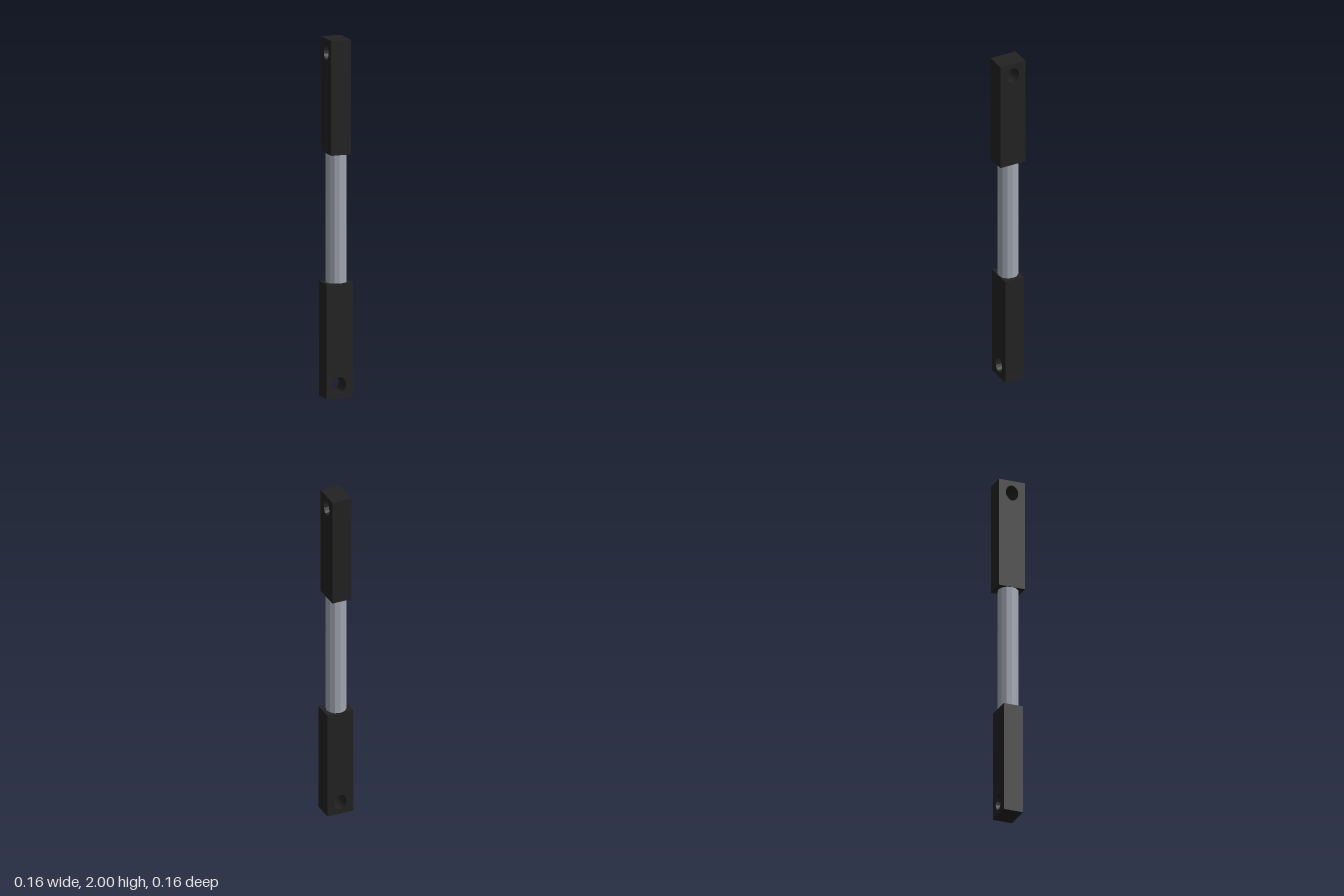
import * as THREE from 'three';

const WIDTH = 0.155, DEPTH = 0.115, HEIGHT = 0.64, HOLE_Y = 0.073;

// Rectangular end block standing on y = 0, with an oval pin hole along z near its foot
function makeEndBlock(name, material) {
  const w = WIDTH / 2;
  const outline = new THREE.Shape();
  outline.moveTo(-w, 0);
  outline.lineTo(w, 0);
  outline.lineTo(w, HEIGHT);
  outline.lineTo(-w, HEIGHT);
  outline.closePath();

  const hole = new THREE.Path();
  hole.absellipse(0, HOLE_Y, 0.037, 0.045, 0, Math.PI * 2, true);
  outline.holes.push(hole);

  const geometry = new THREE.ExtrudeGeometry(outline, { depth: DEPTH, bevelEnabled: false, curveSegments: 8 });
  geometry.translate(0, 0, -DEPTH / 2);
  const block = new THREE.Mesh(geometry, material);
  block.name = name;
  return block;
}

export function createModel() {
  const model = new THREE.Group();
  model.name = 'linkRod';
  const black = new THREE.MeshStandardMaterial({ color: 0x222222, flatShading: true });
  const steel = new THREE.MeshStandardMaterial({ color: 0xa0a5b0, flatShading: true });

  // Lower end, pin hole running front to back
  model.add(makeEndBlock('lowerEndBlock', black));

  // Upper end, upside down and turned a quarter so its pin hole runs side to side
  const upper = makeEndBlock('upperEndBlock', black);
  upper.rotation.set(Math.PI, Math.PI / 2, 0);
  upper.position.y = 2;
  model.add(upper);

  // Twelve-sided shaft between the ends
  const shaft = new THREE.Mesh(new THREE.CylinderGeometry(0.057, 0.057, 2 - 2 * HEIGHT, 12), steel);
  shaft.name = 'shaft';
  shaft.position.y = 1;
  model.add(shaft);

  return model;
}
